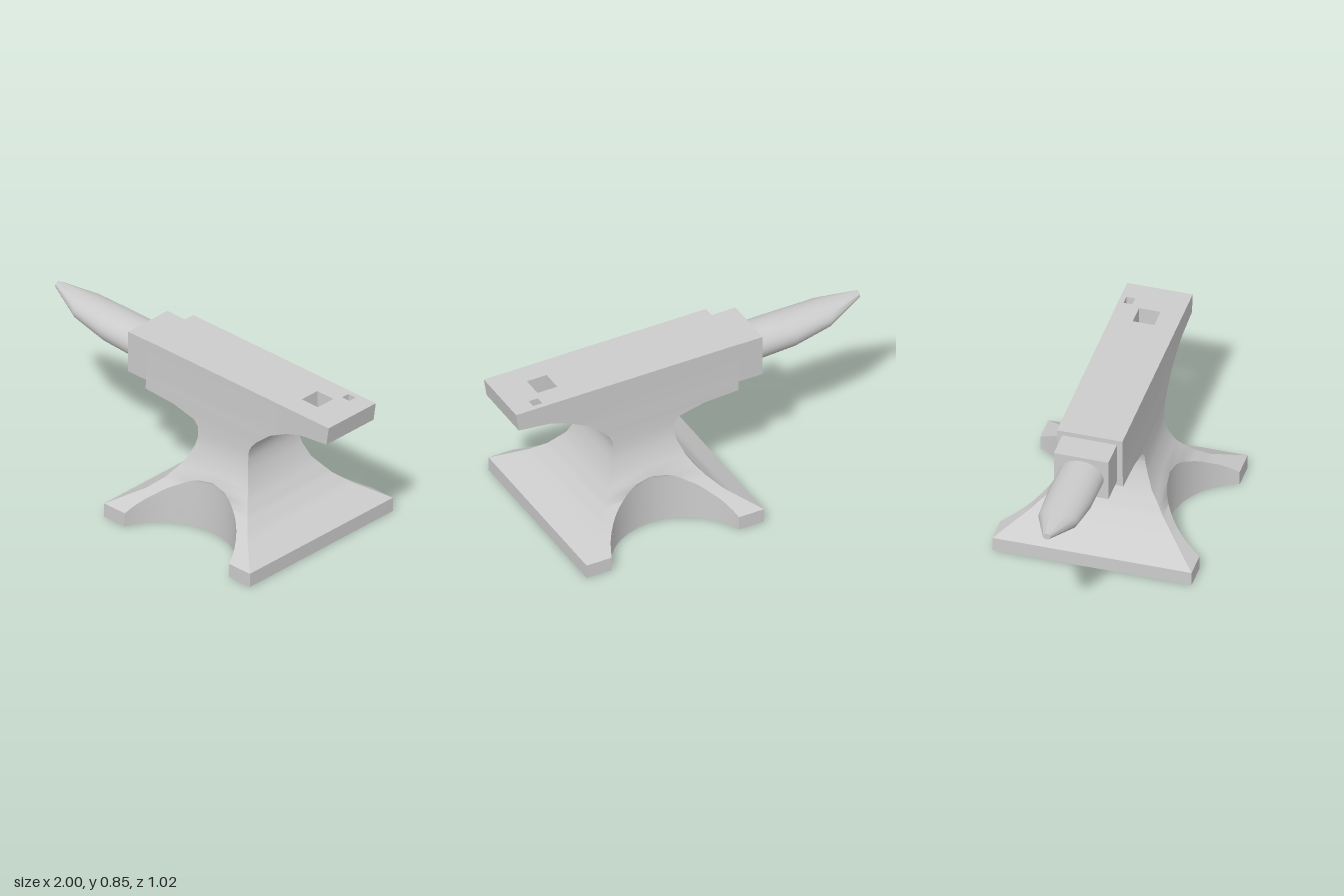
import * as THREE from 'three';
import { toCreasedNormals } from 'three/addons/utils/BufferGeometryUtils.js';

const material = new THREE.MeshStandardMaterial({ color: 0xcccccc });

// Turns quads (four corner vectors each) into a creased geometry, dropping collapsed triangles
function fromQuads(quads, crease = 0.75) {
  const pos = [];
  const tri = (a, b, c) => {
    const area = b.clone().sub(a).cross(c.clone().sub(a)).length();
    if (area > 1e-8) for (const p of [a, b, c]) pos.push(p.x, p.y, p.z);
  };
  for (const [a, b, c, d] of quads) { tri(a, b, c); tri(a, c, d); }
  const g = new THREE.BufferGeometry();
  g.setAttribute('position', new THREE.Float32BufferAttribute(pos, 3));
  return toCreasedNormals(g, crease);
}

// Skins a stack of closed rings and caps both ends with strips across the ring
function loft(rings) {
  const quads = [], n = rings[0].length, first = rings[0], last = rings[rings.length - 1];
  for (let j = 0; j + 1 < rings.length; j++)
    for (let i = 0; i < n; i++) {
      const k = (i + 1) % n;
      quads.push([rings[j][i], rings[j][k], rings[j + 1][k], rings[j + 1][i]]);
    }
  for (let i = 0; i < n / 2 - 1; i++) {
    quads.push([last[i], last[i + 1], last[n - 2 - i], last[n - 1 - i]]);
    quads.push([first[n - 1 - i], first[n - 2 - i], first[i + 1], first[i]]);
  }
  return fromQuads(quads);
}

// Base, waist and face block: horizontal sections with a round scoop in the front and back
function bodyGeometry() {
  const C = 0.295, R = 0.375, ZC = 0.63, N = 16; // scoop centre, radius, segments
  const rows = [ // y, left x, right x, half depth
    [0, -0.2, 0.79, 0.51], [0.075, -0.2, 0.79, 0.51], [0.165, -0.05, 0.64, 0.37],
    [0.225, 0.015, 0.575, 0.3], [0.282, 0.058, 0.532, 0.255], [0.32, 0.082, 0.508, 0.225],
    [0.4, 0.115, 0.475, 0.193], [0.45, 0.125, 0.465, 0.18], [0.5, 0.12, 0.465, 0.176],
    [0.53, 0.09, 0.48, 0.174], [0.56, -0.05, 0.505, 0.172], [0.57, -0.24, 0.515, 0.172],
    [0.64, -0.24, 0.6, 0.169], [0.665, -0.24, 0.65, 0.168], [0.845, -0.24, 0.65, 0.168],
  ];
  // extra sections through the flare keep the scoop's rim curved
  const fine = [];
  rows.forEach((r, i) => {
    const next = rows[i + 1], steps = i >= 1 && i <= 3 ? 4 : 1;
    for (let s = 0; s < steps; s++)
      fine.push(next ? r.map((v, k) => v + (next[k] - v) * s / steps) : r);
  });
  const rings = fine.map(([y, xl, xr, w]) => {
    const k = w > ZC - R ? Math.sqrt(Math.max(0, R * R - (ZC - w) ** 2)) : 0;
    const front = [new THREE.Vector3(xl, y, w)];
    for (let i = 0; i <= N; i++) {
      const dx = -k * Math.cos(Math.PI * i / N);
      const z = k ? Math.min(w, ZC - Math.sqrt(R * R - dx * dx)) : w;
      front.push(new THREE.Vector3(C + dx, y, z));
    }
    front.push(new THREE.Vector3(xr, y, w));
    const back = front.map(p => new THREE.Vector3(p.x, p.y, -p.z)).reverse();
    return [...front, ...back];
  });
  return loft(rings);
}

// Overhanging heel: a grid of cells with a curved underside and two square through holes
function heelGeometry() {
  const xs = [0.65, 0.7, 0.71, 0.75, 0.8, 0.82, 0.84, 0.89, 0.94, 1];
  const under = [0.665, 0.69, 0.695, 0.709, 0.725, 0.728, 0.731, 0.736, 0.741, 0.746];
  const zs = [-0.168, -0.14, -0.095, -0.055, 0.055, 0.168];
  const nx = xs.length - 1, nz = zs.length - 1;
  const solid = (i, j) => i < nx && j >= 0 && j < nz
    && !(j === 3 && i >= 2 && i <= 4)  // large hole
    && !(j === 1 && i === 6);          // small hole
  const top = (i, j) => new THREE.Vector3(xs[i], 0.845, zs[j]);
  const low = (i, j) => new THREE.Vector3(i === nx ? 0.985 : xs[i], under[i], zs[j]);
  const quads = [];
  const wall = (i, j, k, l) => quads.push([low(i, j), low(k, l), top(k, l), top(i, j)]);
  for (let i = 0; i < nx; i++)
    for (let j = 0; j < nz; j++) {
      if (!solid(i, j)) continue;
      quads.push([top(i, j + 1), top(i + 1, j + 1), top(i + 1, j), top(i, j)]);
      quads.push([low(i, j), low(i + 1, j), low(i + 1, j + 1), low(i, j + 1)]);
      if (!solid(i, j + 1)) wall(i, j + 1, i + 1, j + 1);
      if (!solid(i, j - 1)) wall(i + 1, j, i, j);
      if (!solid(i + 1, j)) wall(i + 1, j + 1, i + 1, j);
      if (i > 0 && !solid(i - 1, j)) wall(i, j, i, j + 1);
    }
  return fromQuads(quads);
}

// Tapered horn: oval sections that share a level top line
function hornGeometry() {
  const sections = [ // x, bottom y, half width
    [-0.38, 0.615, 0.115], [-0.6, 0.63, 0.115], [-0.8, 0.68, 0.1], [-1, 0.765, 0.02],
  ];
  const N = 32, TOP = 0.8;
  return loft(sections.map(([x, bottom, w]) => Array.from({ length: N }, (_, i) => {
    const a = 2 * Math.PI * i / N, h = (TOP - bottom) / 2;
    return new THREE.Vector3(x, bottom + h + h * Math.sin(a), w * Math.cos(a));
  })));
}

export function createModel() {
  const model = new THREE.Group();
  model.name = 'anvil';
  const add = (name, geometry) => {
    const mesh = new THREE.Mesh(geometry, material);
    mesh.name = name;
    model.add(mesh);
    return mesh;
  };
  add('body', bodyGeometry());
  add('heel', heelGeometry());
  add('horn', hornGeometry());
  // Step between the face and the horn
  add('step', new THREE.BoxGeometry(0.16, 0.225, 0.28)).position.set(-0.31, 0.7075, 0);
  return model;
}
